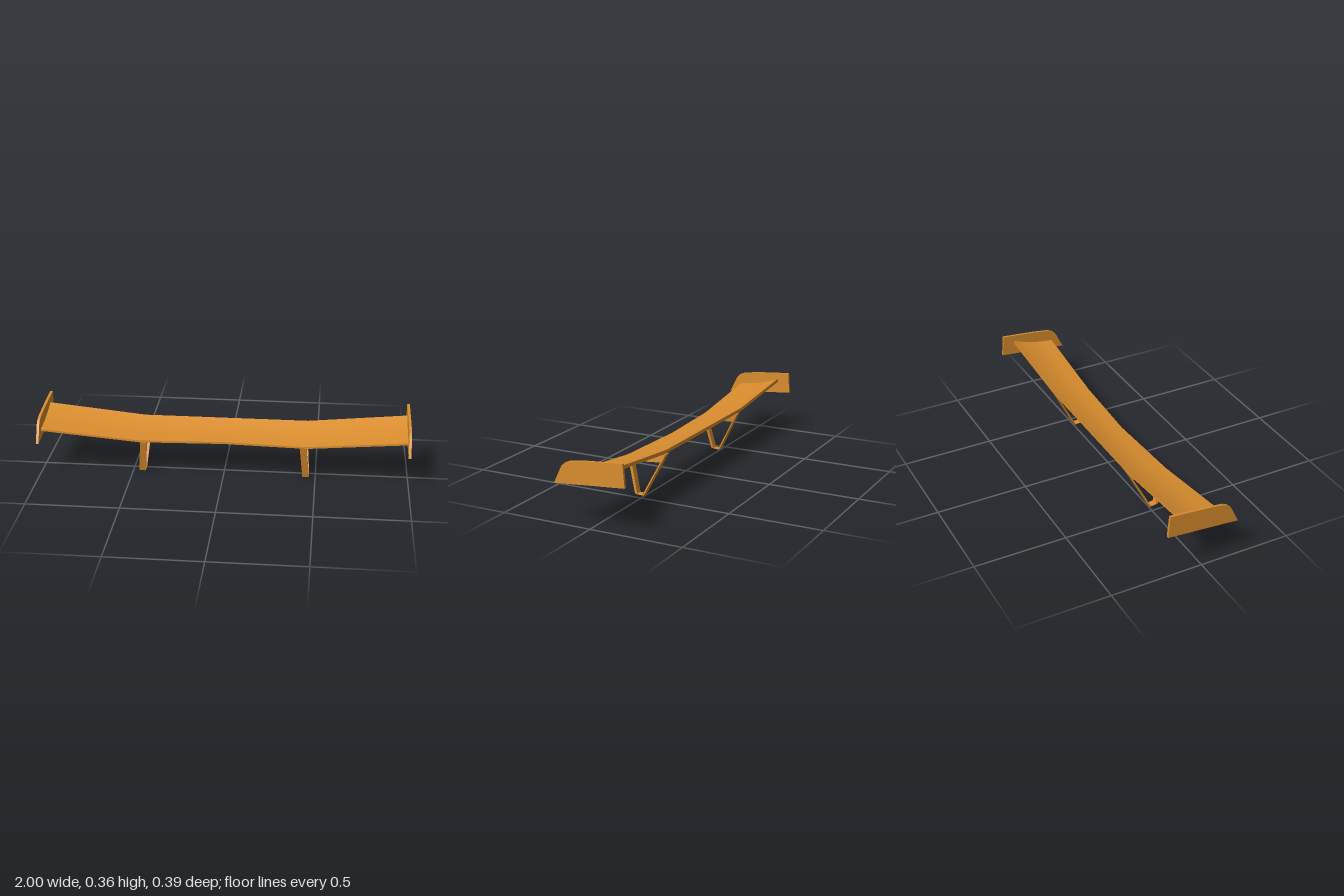
import * as THREE from 'three';
import { toCreasedNormals } from 'three/addons/utils/BufferGeometryUtils.js';

const paint = new THREE.MeshStandardMaterial({ color: 0xd98d2e, side: THREE.DoubleSide });

function addMesh(parent, name, geometry) {
  const mesh = new THREE.Mesh(geometry, paint);
  mesh.name = name;
  parent.add(mesh);
}

// Extrudes a (z, y) outline across x; centre(y) gives the x of its middle.
function sidePlate(outline, holes, thickness, centre) {
  const toPoints = (list) => list.map(([z, y]) => new THREE.Vector2(z, y));
  const shape = new THREE.Shape(toPoints(outline));
  holes.forEach((hole) => shape.holes.push(new THREE.Path(toPoints(hole))));
  const geometry = new THREE.ExtrudeGeometry(shape, { depth: thickness, bevelEnabled: false });
  const p = geometry.attributes.position;
  for (let i = 0; i < p.count; i++) {
    const z = p.getX(i), y = p.getY(i), d = p.getZ(i);
    p.setXYZ(i, centre(y) + d - thickness / 2, y, z);
  }
  return toCreasedNormals(geometry, 0.5);
}

// Lofts the curved aerofoil section through the span stations.
function wingGeometry() {
  const REAR = -0.12;
  const smooth = (list) => new THREE.SplineCurve(list.map(([t, y]) => new THREE.Vector2(t, y))).getPoints(12);
  const under = smooth([[0, 0.196], [0.45, 0.206], [0.8, 0.228], [1, 0.243]]);
  const upper = smooth([[0, 0.207], [0.45, 0.221], [0.8, 0.244], [1, 0.262]]);
  const ring = [...under, ...upper.reverse()];
  const n = ring.length;
  // [x, leading edge z, lift]
  const half = [[0.45, 0.105, 0], [0.99, 0.125, 0.054]];
  const stations = [
    ...half.map(([x, z, lift]) => [-x, z, lift]).reverse(),
    [0, 0.084, 0],
    ...half,
  ];
  const positions = [], index = [];
  stations.forEach(([x, front, lift], i) => {
    ring.forEach((pt, j) => {
      positions.push(x, pt.y + lift, THREE.MathUtils.lerp(front, REAR, pt.x));
      if (i === 0) return;
      const k = (j + 1) % n, a = (i - 1) * n, b = i * n;
      index.push(a + j, a + k, b + k, a + j, b + k, b + j);
    });
  });
  const geometry = new THREE.BufferGeometry();
  geometry.setAttribute('position', new THREE.Float32BufferAttribute(positions, 3));
  geometry.setIndex(index);
  return toCreasedNormals(geometry, 0.5);
}

export function createModel() {
  const model = new THREE.Group();
  model.name = 'rearWing';

  addMesh(model, 'wingBlade', wingGeometry());

  const plateOutline = [
    [0.197, 0.205], [-0.196, 0.237], [-0.187, 0.356], [0.01, 0.34],
    [0.107, 0.327], [0.133, 0.316], [0.152, 0.298],
  ];
  // Triangular stand whose top edge follows the underside of the blade
  const standOutline = [
    [0.055, 0.004], [0.005, 0], [-0.116, 0.235], [-0.08, 0.23],
    [0, 0.207], [0.105, 0.197],
  ];
  const standOpening = [[0.043, 0.006], [0.083, 0.175], [-0.085, 0.19], [0.013, 0.003]];

  for (const [side, s] of [['left', 1], ['right', -1]]) {
    addMesh(model, side + 'EndPlate', sidePlate(plateOutline, [], 0.014, () => s * 0.993));
    addMesh(model, side + 'Stand',
      sidePlate(standOutline, [standOpening], 0.036, (y) => s * (0.449 - 0.09 * y)));
  }
  return model;
}
